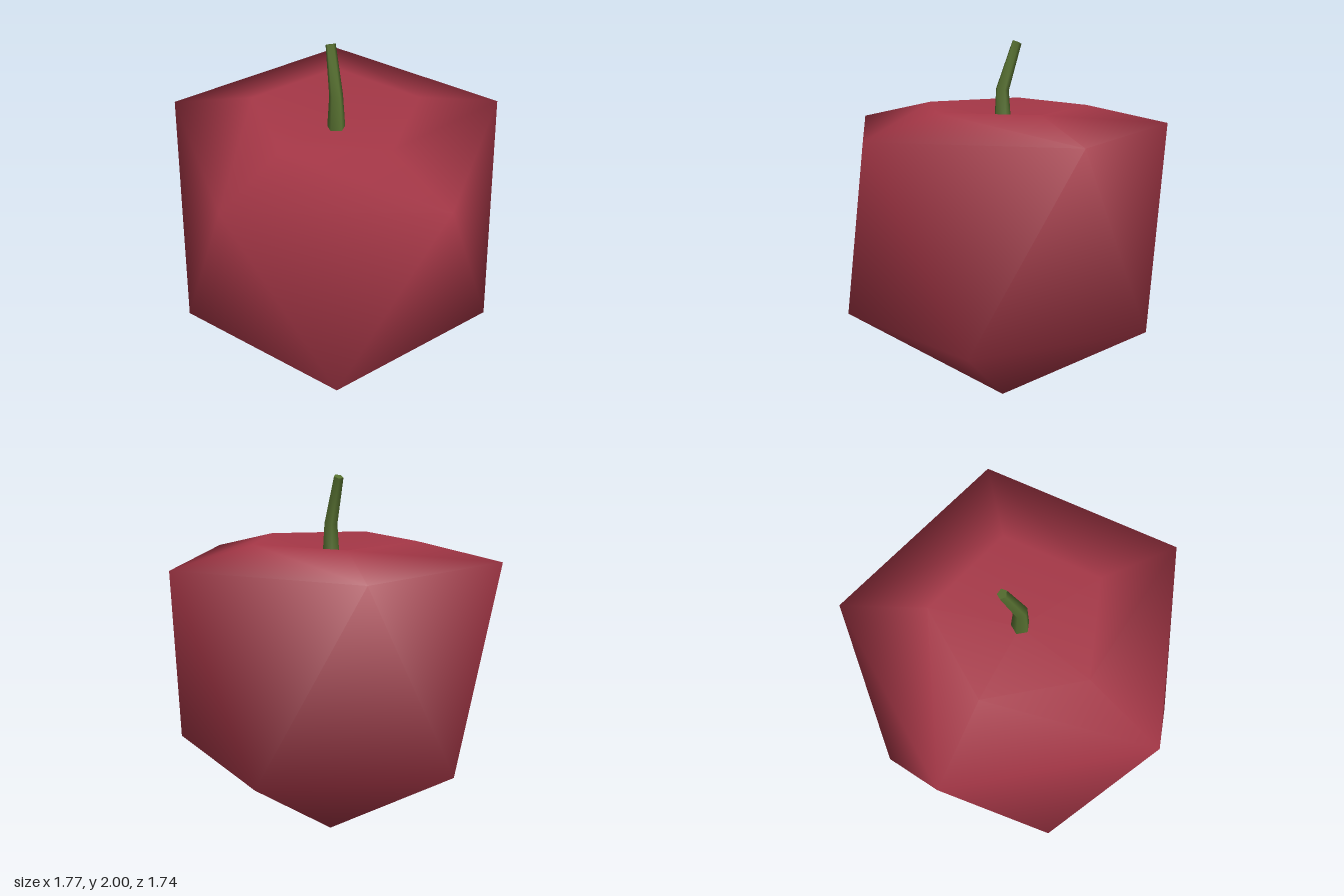
import * as THREE from 'three';

const SIDES = 5;

// Skin a stack of five-sided rings, listed top to bottom, with shared smooth normals.
// Each ring: y, r, optional z (centre), tilt (lean about x), phase (turn). r = 0 is a point.
function loft(rings) {
  const positions = [], index = [];
  for (const { y, r, z = 0, tilt = 0, phase = 0 } of rings) {
    for (let i = 0; i < (r ? SIDES : 1); i++) {
      const a = phase + (i / SIDES) * Math.PI * 2;
      const dz = r * Math.sin(a);
      positions.push(r * Math.cos(a), y + dz * Math.sin(tilt), z + dz * Math.cos(tilt));
    }
  }
  let start = 0;
  for (let k = 0; k < rings.length - 1; k++) {
    const upper = rings[k].r > 0, lower = rings[k + 1].r > 0;
    const next = start + (upper ? SIDES : 1);
    for (let i = 0; i < SIDES; i++) {
      const j = (i + 1) % SIDES;
      if (upper) index.push(start + i, start + j, next + (lower ? i : 0));
      if (lower) index.push(start + (upper ? j : 0), next + j, next + i);
    }
    start = next;
  }
  const geometry = new THREE.BufferGeometry();
  geometry.setAttribute('position', new THREE.Float32BufferAttribute(positions, 3));
  geometry.setIndex(index);
  geometry.computeVertexNormals();
  return geometry;
}

export function createModel() {
  const skinRed = new THREE.MeshStandardMaterial({ color: 0xa83848 });
  skinRed.name = 'skin red';
  const stemGreen = new THREE.MeshStandardMaterial({ color: 0x566f30 });
  stemGreen.name = 'stem green';

  const group = new THREE.Group();
  group.name = 'fruit';
  const add = (name, geometry, material) => {
    const mesh = new THREE.Mesh(geometry, material);
    mesh.name = name;
    mesh.position.x = -0.03;
    group.add(mesh);
  };

  // Fruit body: twenty-sided solid with a shallow dimple on top
  add('fruitBody', loft([
    { y: 1.545, r: 0 },
    { y: 1.65, r: 0.46 },
    { y: 1.545, r: 0.915 },
    { y: 0.515, r: 0.858, phase: Math.PI / SIDES },
    { y: 0, r: 0 },
  ]), skinRed);

  // Stem: bent tapering tube leaning back, closed by a flat end
  const tip = { y: 1.988, r: 0.027, z: -0.084, tilt: 0.4 };
  add('stem', loft([
    tip,
    { y: 1.74, r: 0.037, z: 0.002, tilt: 0.2 },
    { y: 1.52, r: 0.051, z: 0.002 },
  ]), stemGreen);
  add('stemEnd', loft([{ ...tip, r: 0 }, tip]), stemGreen);

  return group;
}
